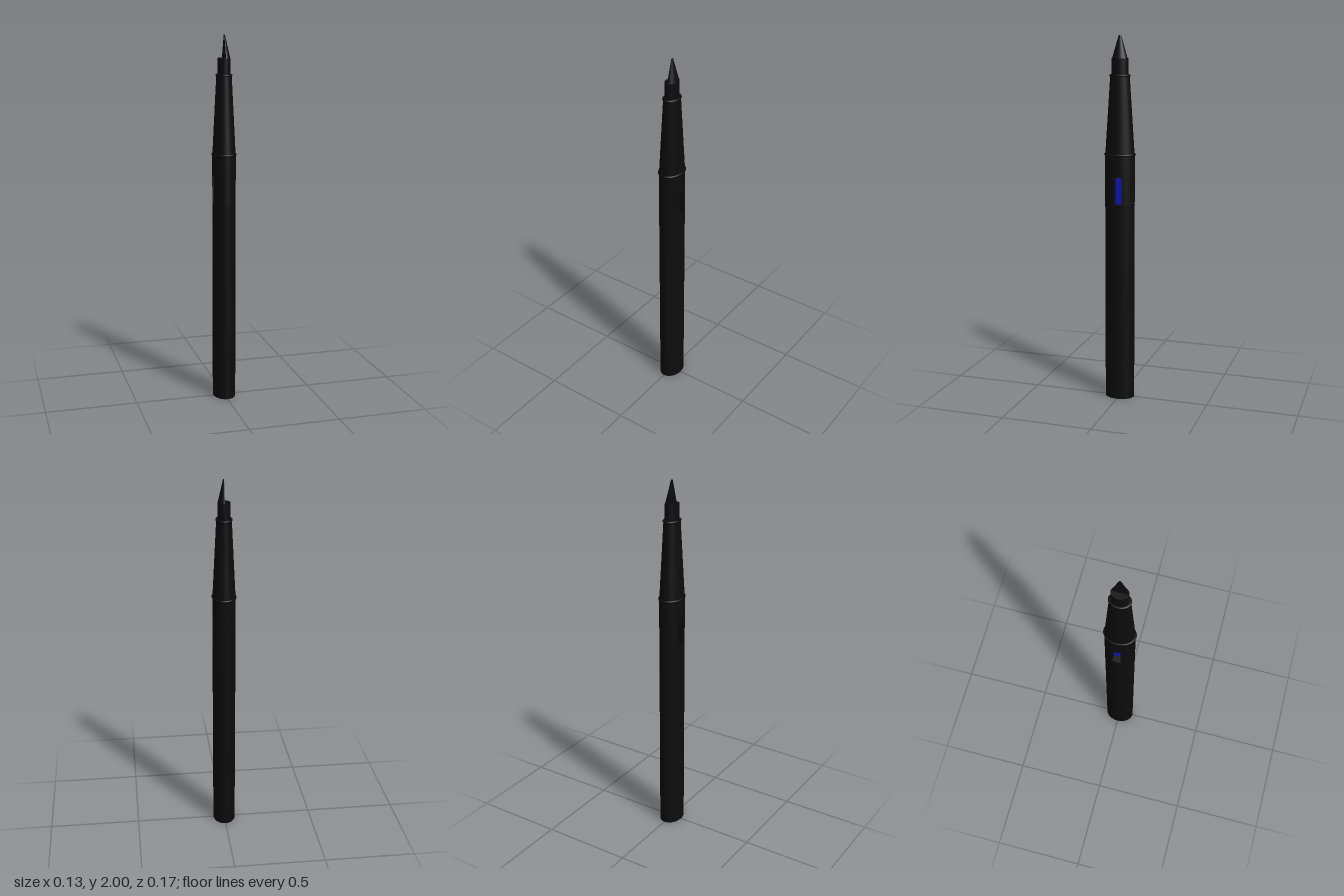
import * as THREE from 'three';
import { toCreasedNormals } from 'three/addons/utils/BufferGeometryUtils.js';

const OVAL = 1.32; // depth to width ratio of the oval barrel
const SEG = 64;

export function createModel() {
  const model = new THREE.Group();
  model.name = 'pen';
  const black = new THREE.MeshStandardMaterial({ color: 0x0c0c0c });
  const blue = new THREE.MeshStandardMaterial({ color: 0x1018c0 });

  const add = (name, geometry, material = black) => {
    const mesh = new THREE.Mesh(geometry, material);
    mesh.name = name;
    model.add(mesh);
    return mesh;
  };
  // Oval tapered section between two heights
  const section = (name, y0, y1, r0, r1) => {
    const mesh = add(name, new THREE.CylinderGeometry(r1, r0, y1 - y0, SEG));
    mesh.position.y = (y0 + y1) / 2;
    mesh.scale.z = OVAL;
  };
  // Oval bead around the barrel
  const ring = (name, y, radius, tube) => {
    const geometry = new THREE.TorusGeometry(radius, tube, 12, SEG).rotateX(Math.PI / 2);
    const mesh = add(name, geometry);
    mesh.position.y = y;
    mesh.scale.z = OVAL;
  };

  // Barrel, grip and collar
  section('lowerBarrel', 0, 1.1, 0.062, 0.062);
  section('upperBarrel', 1.25, 1.37, 0.062, 0.062);
  section('grip', 1.37, 1.79, 0.061, 0.04);
  section('collar', 1.79, 1.88, 0.034, 0.034);
  ring('gripBaseRing', 1.37, 0.059, 0.007);
  ring('gripTopRing', 1.79, 0.037, 0.007);

  // Barrel part with a deep slot on each side
  const rx = 0.062, rz = rx * OVAL, floor = 0.025, slotBack = 0.026, slotFront = 0.018;
  const backAngle = Math.asin(slotBack / rz), frontAngle = Math.asin(slotFront / rz);
  const outline = [];
  const arc = (from, to) => {
    for (let i = 0; i <= 28; i++) {
      const a = from + (to - from) * i / 28;
      outline.push(new THREE.Vector2(rx * Math.cos(a), rz * Math.sin(a)));
    }
  };
  arc(backAngle, Math.PI - backAngle);
  outline.push(new THREE.Vector2(-floor, slotBack), new THREE.Vector2(-floor, -slotFront));
  arc(Math.PI + frontAngle, 2 * Math.PI - frontAngle);
  outline.push(new THREE.Vector2(floor, -slotFront), new THREE.Vector2(floor, slotBack));
  const slotted = new THREE.ExtrudeGeometry(new THREE.Shape(outline), { depth: 0.15, bevelEnabled: false });
  slotted.rotateX(-Math.PI / 2);
  add('slottedBarrel', toCreasedNormals(slotted, 0.6)).position.y = 1.1;

  // Blue insert at the bottom of both slots
  const insert = add('slotInsert', new THREE.BoxGeometry(0.054, 0.15, slotBack + slotFront), blue);
  insert.position.set(0, 1.175, (slotFront - slotBack) / 2);

  // Half-cone nib, cut flat on its right side
  const base = 0.032, tip = 0.005, height = 0.12;
  const nib = new THREE.Group();
  nib.name = 'nib';
  nib.position.y = 1.88;
  nib.scale.z = OVAL;
  const cone = new THREE.Mesh(
    new THREE.CylinderGeometry(tip, base, height, 32, 1, false, 0, Math.PI).translate(0, height / 2, 0), black);
  cone.name = 'nibRoundSide';
  const flat = new THREE.Shape([
    new THREE.Vector2(-base, 0), new THREE.Vector2(base, 0),
    new THREE.Vector2(tip, height), new THREE.Vector2(-tip, height),
  ]);
  const face = new THREE.Mesh(new THREE.ShapeGeometry(flat).rotateY(-Math.PI / 2), black);
  face.name = 'nibFlatSide';
  nib.add(cone, face);
  model.add(nib);

  return model;
}
